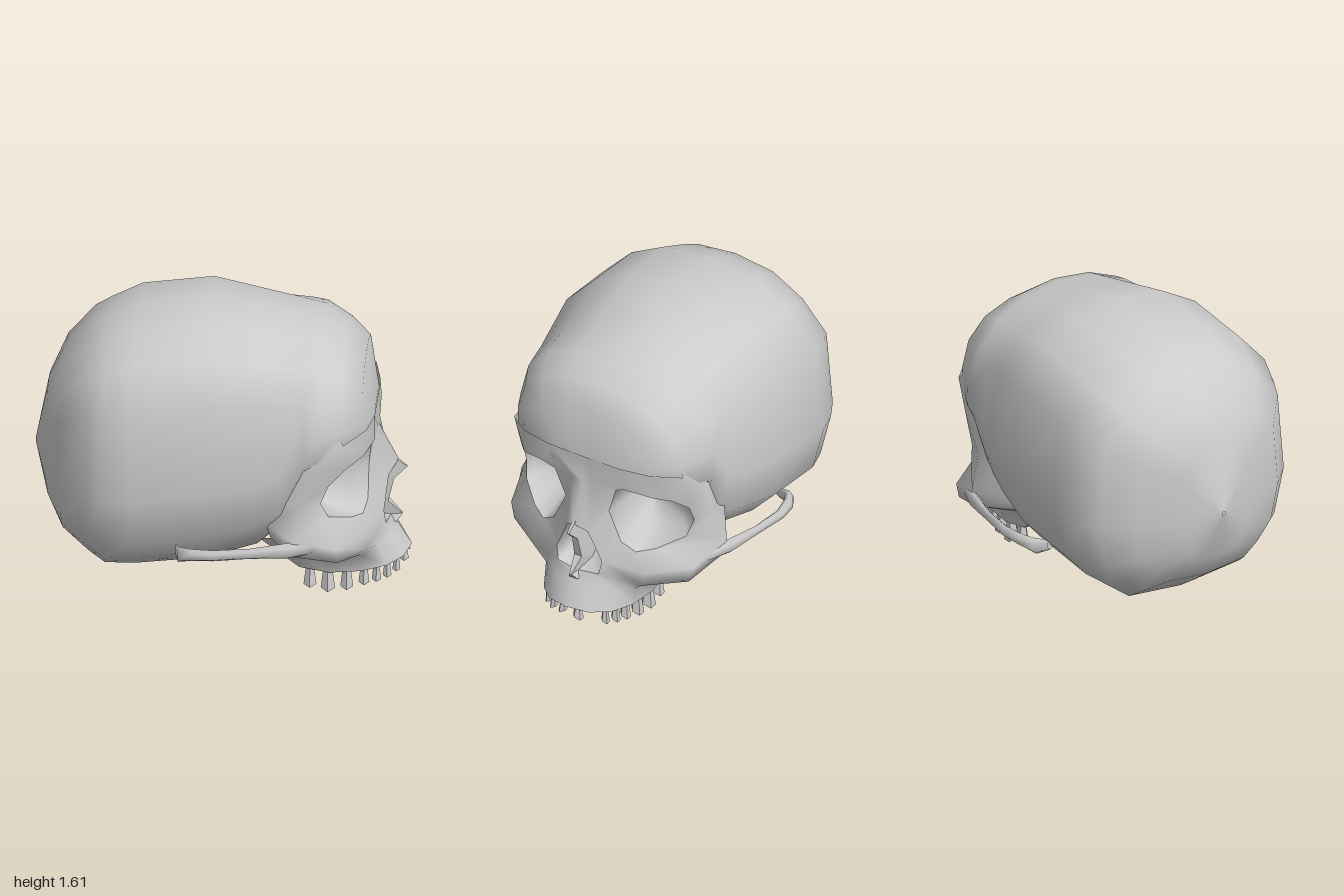
import * as THREE from 'three';
import { mergeGeometries, mergeVertices } from 'three/addons/utils/BufferGeometryUtils.js';

const bone = new THREE.MeshStandardMaterial({ color: 0xcccccc, side: THREE.DoubleSide });
const flip = ([x, y, z]) => [x, y, -z];
const flipRows = rows => rows.map(r => r.map(flip).reverse());
const mix = (a, b, t) => a + (b - a) * t;

// Skin stretched over rows of points; closed joins each row into a ring
function loft(rows, closed = false) {
  const n = rows[0].length, index = [];
  for (let i = 0; i < rows.length - 1; i++) {
    for (let j = 0; j < (closed ? n : n - 1); j++) {
      const a = i * n + j, c = i * n + (j + 1) % n;
      index.push(a, c, a + n, c, c + n, a + n);
    }
  }
  const g = new THREE.BufferGeometry();
  g.setAttribute('position', new THREE.Float32BufferAttribute(rows.flat(2), 3));
  g.setIndex(index);
  g.computeVertexNormals();
  return g;
}

// Weld patches together so that shading runs smoothly across them
function weld(parts) {
  parts.forEach(p => p.deleteAttribute('normal'));
  const g = mergeVertices(mergeGeometries(parts), 1e-4);
  g.computeVertexNormals();
  return g;
}

export function createModel() {
  const skull = new THREE.Group();
  skull.name = 'skull';
  const add = (name, geometry) => {
    const m = new THREE.Mesh(geometry, bone);
    m.name = name;
    skull.add(m);
  };

  // Braincase: half sections (width, height) blend from round to forehead shape
  const round = [[0, 1], [.39, .975], [.69, .89], [.935, .755], [1, .4], [.9, .2], [.71, .095], [.52, .025], [0, 0]];
  const brow = [[0, 1], [.39, .955], [.70, .84], [.91, .62], [.99, .33], [.985, .1], [.85, 0], [.55, 0], [0, 0]];
  // x, top, bottom, half width, blend
  const stations = [
    [-1, .72, .70, .01, 0], [-.93, 1.09, .43, .22, 0], [-.84, 1.28, .29, .47, 0],
    [-.70, 1.43, .19, .61, 0], [-.61, 1.48, .13, .655, 0], [-.45, 1.555, .145, .712, 0], [-.07, 1.61, .19, .705, 0],
    [.20, 1.557, .27, .642, 0], [.34, 1.53, .40, .612, .15], [.46, 1.505, .80, .595, .95],
    [.53, 1.49, .84, .578, 1], [.66, 1.40, .89, .515, 1], [.76, 1.31, .93, .415, 1],
    [.812, 1.02, .95, .21, 1], [.812, .99, .97, .01, 1],
  ];
  const sections = stations.map(([x, top, bottom, w, k]) => {
    const half = round.map(([u, v], i) =>
      [x, mix(bottom, top, mix(v, brow[i][1], k)), w * mix(u, brow[i][0], k)]);
    return [...half, ...half.slice(1, -1).reverse().map(flip)];
  });
  add('braincase', loft(sections, true));

  // Eye socket rim, and the surrounding face in matching order
  const rim = [
    [.82, .91, .26], [.77, .88, .40], [.68, .83, .47], [.59, .75, .52], [.55, .65, .525], [.59, .56, .50],
    [.70, .50, .38], [.76, .48, .29], [.78, .53, .21], [.78, .70, .135], [.80, .87, .19]];
  const around = [
    [.815, 1.03, .22], [.783, 1.03, .395], [.67, 1.00, .526], [.53, .86, .582], [.44, .65, .565], [.40, .47, .635],
    [.63, .40, .57], [.77, .37, .36], [.86, .42, .14], [.88, .60, .065], [.825, .88, .065]];

  // Socket bowls: the rim shrinks towards a deep, flattened floor
  const apex = [.47, .68, .23];
  const bowl = [[1, 0], [.9, .35], [.7, .75], [.35, .97], [0, 1]].map(([s, d]) => rim.map(p =>
    [mix(p[0], apex[0], d), mix(apex[1], p[1], s), mix(apex[2], p[2], s)]));
  add('eyeSocket', loft(bowl, true));
  add('eyeSocketMirrored', loft(flipRows(bowl), true));

  // Upper jaw: rows from cheek level down to the gum, midline to back
  const noseFloor = [.89, .335, 0], noseCorner = [.87, .34, .125], noseTip = [.93, .66, 0];
  const cheekBack = [.26, .50, .50];
  const gum = [[1, .16, 0], [.965, .145, .12], [.88, .13, .21], [.75, .12, .265], [.58, .115, .285], [.42, .14, .28], [.32, .22, .25]];
  const jaw = [
    [noseFloor, noseCorner, around[8], around[7], around[6], around[5], cheekBack],
    [[.91, .31, 0], [.87, .32, .13], [.83, .32, .20], [.77, .28, .33], [.64, .31, .545], [.40, .37, .61], [.28, .40, .46]],
    [[.92, .29, 0], [.89, .28, .13], [.83, .25, .215], [.75, .225, .275], [.60, .23, .32], [.40, .25, .31], [.20, .31, .28]],
    gum,
  ];
  const bothSides = rows => rows.map(r => [...r.slice(1).reverse().map(flip), ...r]);
  const skin = [around, rim];
  // Temple: the outer edge of the face runs back into the braincase
  const temple = [
    [[.62, 1.08, .47], [.44, 1.0, .55], [.28, .68, .54], cheekBack],
    around.slice(2, 6),
  ];
  const bridge = [
    [[.818, 1.03, 0], around[0]], [[.825, .87, 0], around[10]],
    [noseTip, around[9]],
  ];
  add('face', weld([
    ...[skin, flipRows(skin)].map(s => loft(s, true)),
    ...[temple, flipRows(temple), bothSides(jaw), bothSides(bridge)].map(s => loft(s)),
  ]));

  // Palate: the gum line drawn inwards and up
  const palate = [[1, 0, 0], [.78, .02, .05], [.6, .09, .08], [0, .12, .1]].map(([s, up, back]) =>
    gum.map(([x, y, z]) => [x - back, y + up, z * s]));
  add('palate', loft(bothSides(palate)));

  // Nose cavity and its dividing wall
  const halfNose = [noseTip, around[9], around[8], noseCorner, noseFloor];
  const noseRing = [...halfNose, ...halfNose.slice(1, -1).reverse().map(flip)];
  add('noseCavity', loft([0, .5, .9].map((d, i) => noseRing.map(([x, y, z]) =>
    [mix(x, .66, d), mix(y, .45, [0, .15, .9][i]), z * [1, .85, .1][i]])), true));
  const wall = new THREE.Shape([[.70, .64], [.90, .68], [.975, .62], [.905, .55], [.875, .42], [.95, .34], [.92, .30], [.70, .32]]
    .map(p => new THREE.Vector2(...p)));
  const septum = new THREE.ExtrudeGeometry(wall, { depth: .03, bevelEnabled: false });
  septum.translate(0, 0, -.015);
  // Taper the wall to be thinner at the top and at its front edge
  const sp = septum.attributes.position;
  for (let i = 0; i < sp.count; i++) {
    sp.setZ(i, sp.getZ(i) * (sp.getX(i) > .94 ? .4 : 2.8 - 3 * sp.getY(i)));
  }
  septum.computeVertexNormals();
  add('noseSeptum', septum);

  // Cheek arches reaching back to the braincase: x, y, z, half height, half thickness
  const archPath = [[.52, .415, .57, .04, .03], [.38, .42, .635, .045, .028], [.18, .42, .685, .03, .018],
    [-.01, .415, .712, .032, .024], [-.13, .405, .69, .035, .03], [-.20, .385, .65, .045, .03], [-.22, .38, .57, .03, .02]];
  const arch = archPath.map(([x, y, z, h, t]) => Array.from({ length: 6 }, (_, i) =>
    [x, y + h * Math.cos(i * Math.PI / 3), z - t * Math.sin(i * Math.PI / 3)]));
  add('cheekArch', loft(arch, true));
  add('cheekArchMirrored', loft(flipRows(arch), true));

  // Teeth
  const teeth = new THREE.Group();
  teeth.name = 'teeth';
  const tooth = (x, z, tip, r) => {
    const top = .165, g = new THREE.CylinderGeometry(r * .5, r, top - tip, 5).toNonIndexed();
    // Slanted biting edge
    const p = g.attributes.position;
    for (let i = 0; i < p.count; i++) if (p.getY(i) < 0) p.setY(i, p.getY(i) + (r - p.getZ(i) * Math.sign(z)) * .5);
    g.computeVertexNormals();
    const m = new THREE.Mesh(g, bone);
    m.name = 'tooth';
    m.position.set(x, (top + tip) / 2, z);
    teeth.add(m);
  };
  const row = [[.475, .25, .02, .036], [.57, .25, 0, .04], [.67, .243, .01, .036],
    [.76, .225, .03, .03], [.825, .205, .04, .026], [.88, .175, .05, .024]];
  for (const [x, z, tip, r] of row) {
    tooth(x, z, tip, r);
    tooth(x, -z, tip, r);
  }
  tooth(.925, .12, .06, .022);
  tooth(.96, .04, .085, .027);
  tooth(.96, -.055, .08, .03);
  skull.add(teeth);
  return skull;
}
